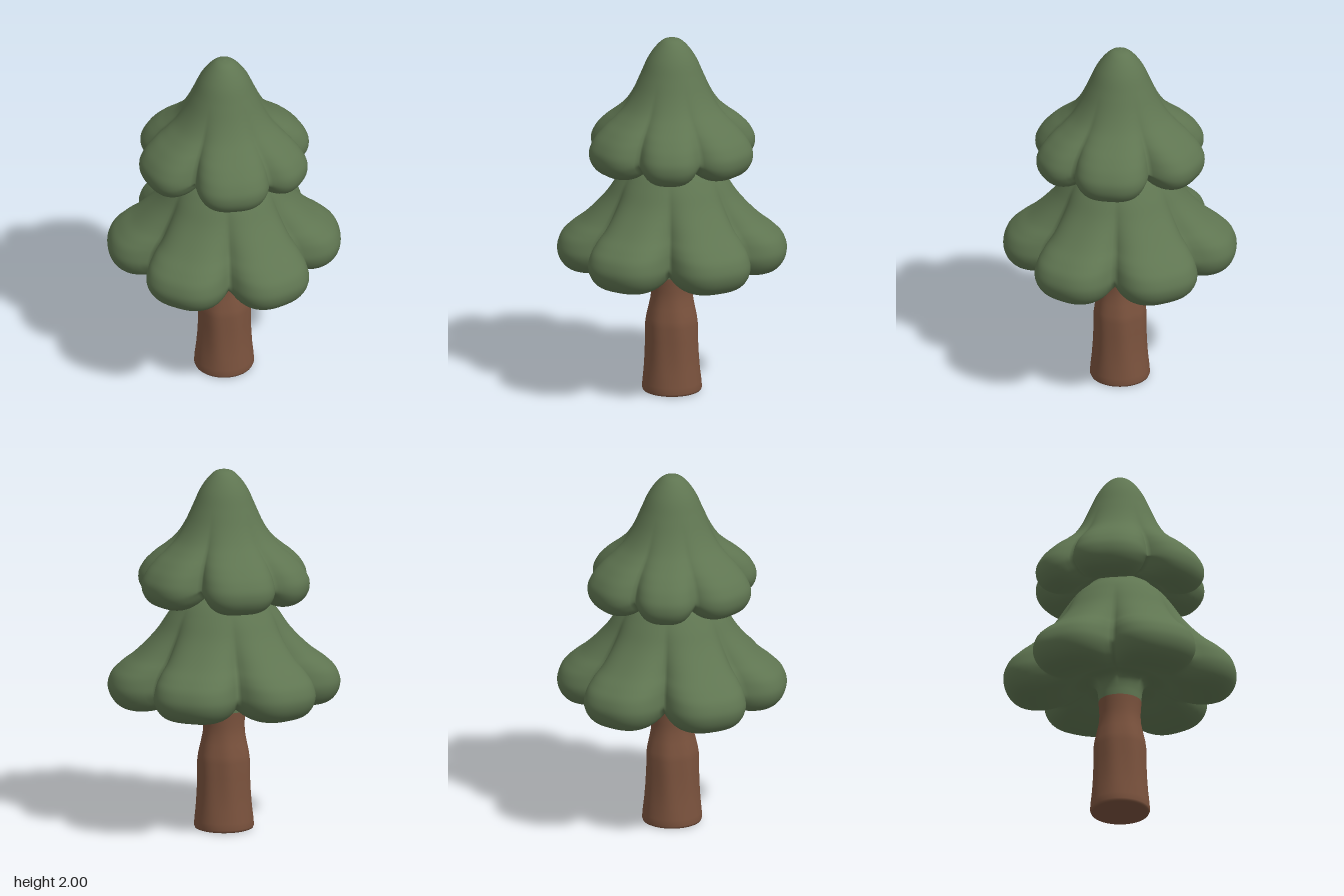
import * as THREE from 'three';
import { mergeVertices } from 'three/addons/utils/BufferGeometryUtils.js';

const SEGMENTS = 144;

// Revolve [radius, height, weight] points (bottom to top), reshape each vertex, and smooth the seam.
function revolve(points, reshape) {
  const rings = points.map((p) => new THREE.Vector2(Math.max(p.x, 0), p.y));
  const geo = new THREE.LatheGeometry(rings, SEGMENTS);
  const pos = geo.attributes.position;
  for (let i = 0; i < pos.count; i++) {
    const ring = points[i % points.length];
    const angle = (Math.floor(i / points.length) / SEGMENTS) * Math.PI * 2;
    const [r, y] = reshape(Math.max(ring.x, 0), ring.y, angle, ring.z);
    pos.setXYZ(i, r * Math.sin(angle), y, r * Math.cos(angle));
  }
  geo.deleteAttribute('uv');
  geo.deleteAttribute('normal');
  const merged = mergeVertices(geo, 1e-5);
  merged.computeVertexNormals();
  return merged;
}

// Distance from the axis to the far side of one rounded lobe, or 0 where the ray misses it.
function lobeReach(angle, { turn, offset, long, wide }) {
  const c = Math.cos(angle - turn);
  const s = Math.sin(angle - turn);
  const inside = (r) => Math.abs((r * c - offset) / long) ** 2.5 + Math.abs((r * s) / wide) ** 2.5 <= 1;
  let near = offset * c;
  let far = offset + long + wide;
  if (!inside(near)) return 0;
  for (let i = 0; i < 24; i++) {
    const mid = (near + far) / 2;
    if (inside(mid)) near = mid;
    else far = mid;
  }
  return near;
}

// Copies of a lobe at the given angles in degrees from the front
const lobesAt = (degrees, offset, long, wide) =>
  degrees.map((d) => ({ turn: THREE.MathUtils.degToRad(d), offset, long, wide }));

// One tier of foliage; the third profile value is how strongly the lobes show.
function foliageTier(name, profile, { lobes, tip, widest, bottom, lift }, material) {
  const curve = new THREE.CatmullRomCurve3(profile.map((p) => new THREE.Vector3(...p)), false, 'centripetal');
  const geo = revolve(curve.getPoints(90), (r, y, angle, weight) => {
    const w = THREE.MathUtils.clamp(weight, 0, 1);
    const f = Math.max(...lobes.map((lobe) => lobeReach(angle, lobe))) / tip;
    const low = 1 - THREE.MathUtils.smoothstep(y, bottom, widest);
    return [r * (1 - w * (1 - f)), y + lift * w * low * (1 - f)];
  });
  const mesh = new THREE.Mesh(geo, material);
  mesh.name = name;
  return mesh;
}

export function createModel() {
  const group = new THREE.Group();
  group.name = 'pineTree';
  const leaf = new THREE.MeshStandardMaterial({ color: 0x5f7551, side: THREE.DoubleSide });
  leaf.name = 'leafGreen';
  const bark = new THREE.MeshStandardMaterial({ color: 0x7a523d });
  bark.name = 'barkBrown';

  // Trunk with a flared foot, a shoulder and faint ridges
  const trunkProfile = [
    [0, 0], [0.15, 0], [0.158, 0.003], [0.163, 0.015], [0.161, 0.05], [0.153, 0.12], [0.147, 0.2],
    [0.143, 0.3], [0.143, 0.38], [0.138, 0.42], [0.125, 0.48], [0.115, 0.53], [0.112, 0.58],
    [0.115, 0.63], [0.117, 0.66],
  ].map(([r, y]) => new THREE.Vector3(r, y, 0));
  const trunk = new THREE.Mesh(revolve(trunkProfile, (r, y, a) => {
    const ridge = 0.03 * Math.sin(Math.PI * Math.min(y / 0.6, 1));
    return [r * (1 + ridge * Math.sin(5 * a + 2 * y) * Math.cos(2 * a)), y];
  }), bark);
  trunk.name = 'trunk';
  group.add(trunk);

  // Lower tier: neck on the trunk, underside, lobes, slope up into the upper tier
  group.add(foliageTier('lowerFoliage', [
    [0.117, 0.66, 0], [0.12, 0.71, 0], [0.145, 0.765, 0.2], [0.23, 0.765, 0.6], [0.35, 0.71, 0.95],
    [0.47, 0.685, 1], [0.565, 0.705, 1], [0.61, 0.75, 1], [0.627, 0.81, 1], [0.61, 0.87, 1],
    [0.56, 0.925, 0.9], [0.488, 0.98, 0.75], [0.415, 1.05, 0.53], [0.355, 1.12, 0.32],
    [0.295, 1.21, 0.12], [0.24, 1.28, 0], [0.18, 1.335, 0], [0.13, 1.4, 0],
  ], {
    lobes: [...lobesAt([0, 180], 0.4, 0.225, 0.232), ...lobesAt([60, 120, 240, 300], 0.405, 0.23, 0.225)],
    tip: 0.627, widest: 0.85, bottom: 0.69, lift: 0.22,
  }, leaf));

  // Upper tier: lobes between those below, rising to the rounded tip
  group.add(foliageTier('upperFoliage', [
    [0.13, 1.38, 0], [0.17, 1.345, 0.1], [0.23, 1.315, 0.5], [0.3, 1.28, 0.9], [0.38, 1.272, 1],
    [0.44, 1.295, 1], [0.475, 1.345, 1], [0.48, 1.4, 1], [0.455, 1.455, 0.95], [0.4, 1.515, 0.8],
    [0.33, 1.57, 0.55], [0.265, 1.63, 0.3], [0.212, 1.71, 0.1], [0.17, 1.8, 0],
    [0.13, 1.89, 0], [0.085, 1.955, 0], [0.045, 1.99, 0], [0, 2, 0],
  ], {
    lobes: [...lobesAt([90, 270], 0.29, 0.19, 0.167), ...lobesAt([35, 145, 215, 325], 0.3, 0.18, 0.2)],
    tip: 0.48, widest: 1.42, bottom: 1.28, lift: 0.3,
  }, leaf));

  return group;
}
